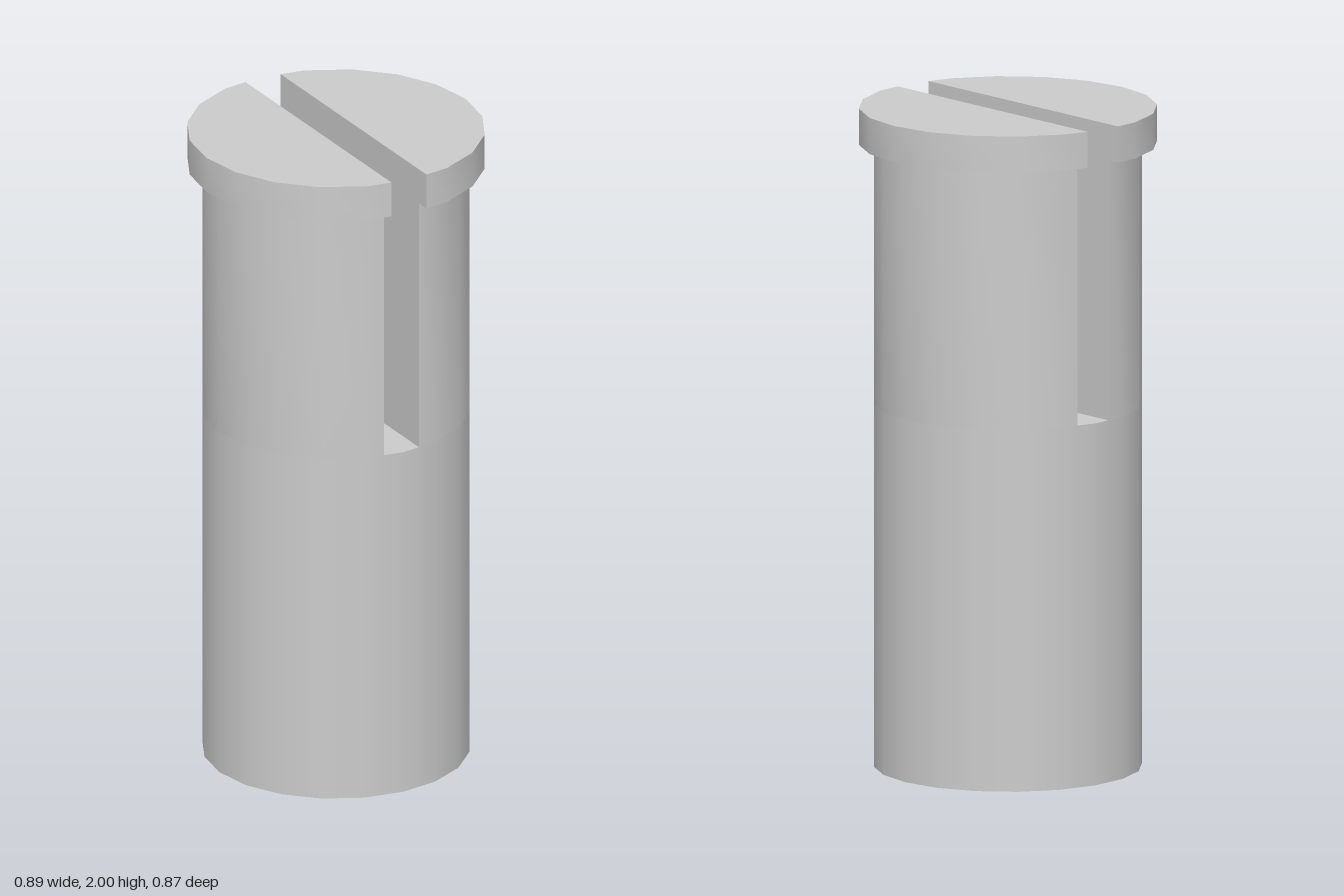
import * as THREE from 'three';
import { toCreasedNormals } from 'three/addons/utils/BufferGeometryUtils.js';

const SIDES = 20;
const BODY_R = 0.4;
const COLLAR_R = 0.445;
const HALF_SLOT = 0.06;
const SLOT_FLOOR = 1.1;
const COLLAR_Y = 1.89;
const TOP = 2;

// One side of a 20-sided disc, cut straight along the slot wall, raised from y0 to y1
function slottedHalf(radius, y0, y1) {
  const step = (Math.PI * 2) / SIDES;
  const reach = SIDES / 4 - 1;
  const points = [];
  for (let i = -reach; i <= reach; i++) {
    points.push(new THREE.Vector2(radius * Math.cos(i * step), radius * Math.sin(i * step)));
  }
  // Where the slot wall meets the facet next to the z axis
  const last = points[points.length - 1];
  const cut = radius + (last.y - radius) * (HALF_SLOT / last.x);
  points.push(new THREE.Vector2(HALF_SLOT, cut));
  points.unshift(new THREE.Vector2(HALF_SLOT, -cut));

  const geometry = new THREE.ExtrudeGeometry(new THREE.Shape(points), {
    depth: y1 - y0,
    bevelEnabled: false,
  });
  geometry.rotateX(-Math.PI / 2).translate(0, y0, 0);
  return toCreasedNormals(geometry, 0.6);
}

export function createModel() {
  const model = new THREE.Group();
  model.name = 'slottedPin';
  const material = new THREE.MeshStandardMaterial({ color: 0xcccccc });

  const add = (name, geometry, turn = 0) => {
    const mesh = new THREE.Mesh(geometry, material);
    mesh.name = name;
    mesh.rotation.y = turn;
    model.add(mesh);
  };

  // Solid lower shaft, whose top is the slot floor
  const shaft = new THREE.CylinderGeometry(BODY_R, BODY_R, SLOT_FLOOR, SIDES);
  add('shaft', shaft.translate(0, SLOT_FLOOR / 2, 0));

  // Two prongs on either side of the slot, each with its half of the collar
  const prong = slottedHalf(BODY_R, SLOT_FLOOR, COLLAR_Y);
  const collar = slottedHalf(COLLAR_R, COLLAR_Y, TOP);
  for (const [side, turn] of [['left', 0], ['right', Math.PI]]) {
    add(side + 'Prong', prong, turn);
    add(side + 'Collar', collar, turn);
  }

  return model;
}
